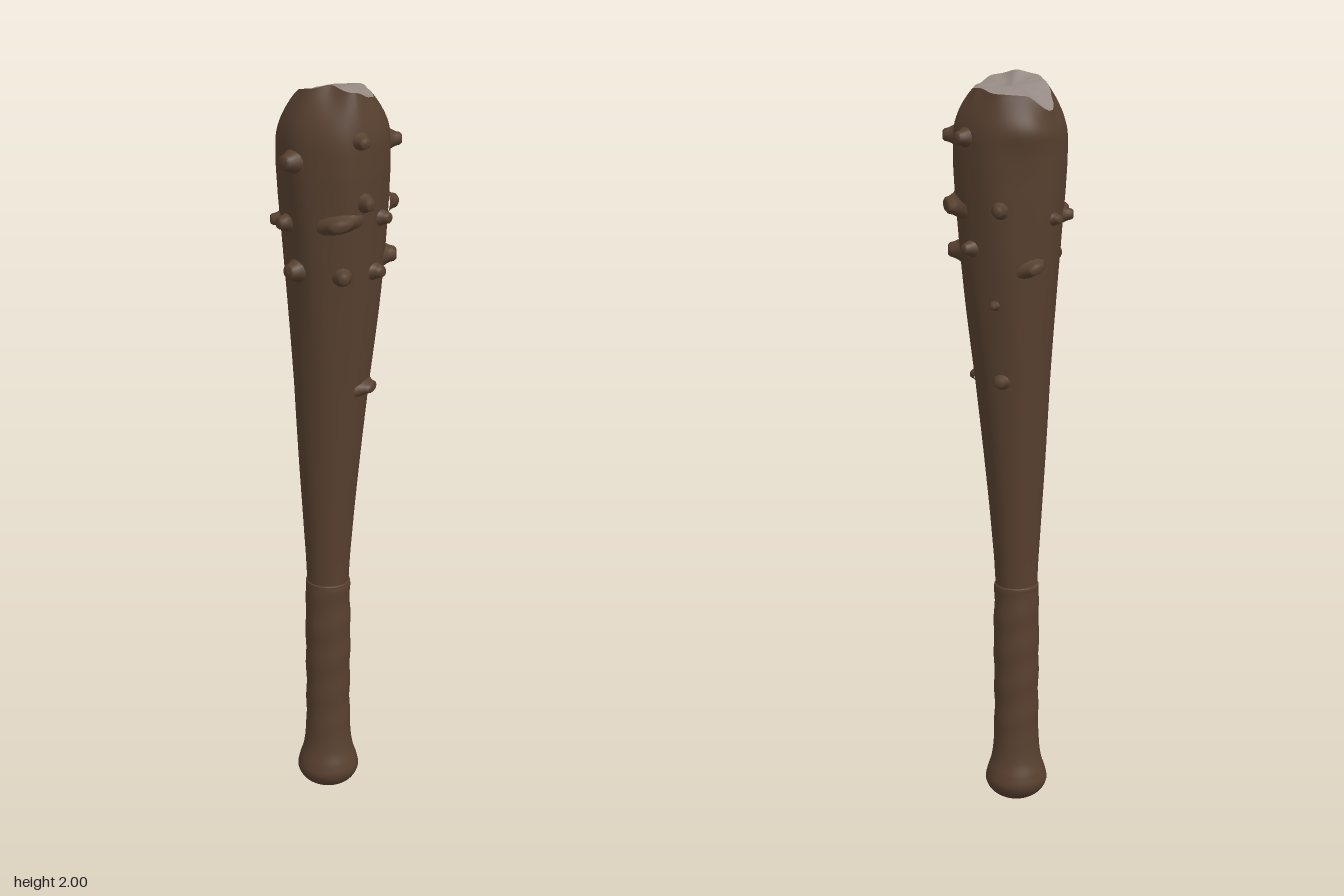
import * as THREE from 'three';

const SEGS = 64;
const TAU = Math.PI * 2;

// Grid of rings closed around the axis; fn(t, angle) returns a point
function ringGeometry(rows, fn) {
  const pos = [], idx = [];
  for (let j = 0; j <= rows; j++) {
    for (let i = 0; i < SEGS; i++) pos.push(...fn(j / rows, (i / SEGS) * TAU));
  }
  for (let j = 0; j < rows; j++) {
    for (let i = 0; i < SEGS; i++) {
      const k = (i + 1) % SEGS;
      const a = j * SEGS + i, b = a + SEGS, c = j * SEGS + k, d = c + SEGS;
      idx.push(a, b, c, b, d, c);
    }
  }
  const g = new THREE.BufferGeometry();
  g.setAttribute('position', new THREE.Float32BufferAttribute(pos, 3));
  g.setIndex(idx);
  g.computeVertexNormals();
  return g;
}

// Smooth value from a list spaced evenly around the circle
function around(list, a) {
  const f = (((a / TAU) % 1) + 1) % 1 * list.length;
  const i = Math.floor(f), s = f - i;
  const w = s * s * (3 - 2 * s);
  return list[i % list.length] * (1 - w) + list[(i + 1) % list.length] * w;
}

// Broken top: rim radius and height every 30 degrees, starting at +x
const RIM_R = [0.093, 0.098, 0.108, 0.122, 0.085, 0.1, 0.093, 0.108, 0.14, 0.122, 0.133, 0.108];
const RIM_Y = [1.965, 1.955, 1.965, 1.985, 2.0, 1.99, 1.98, 1.95, 1.915, 1.955, 1.96, 1.97];
const SHOULDER = 1.84;

// Club radius by height
const PROFILE = [
  [0.6, 0.055], [0.7, 0.06], [0.85, 0.071], [1.0, 0.083], [1.2, 0.099],
  [1.4, 0.118], [1.55, 0.131], [1.7, 0.142], [1.78, 0.146], [SHOULDER, 0.146],
];
function clubRadius(y) {
  let i = 0;
  while (i < PROFILE.length - 2 && y > PROFILE[i + 1][0]) i++;
  const [y0, r0] = PROFILE[i], [y1, r1] = PROFILE[i + 1];
  return THREE.MathUtils.lerp(r0, r1, THREE.MathUtils.clamp((y - y0) / (y1 - y0), 0, 1));
}

// The axis leans slightly towards +x as it rises
const axisX = (y) => -0.022 + 0.02 * THREE.MathUtils.smoothstep(y, 0.6, 1.8);

// Gnarled wood surface
function clubPoint(y, a) {
  const rough = THREE.MathUtils.smoothstep(y, 0.7, 1.7);
  let r = clubRadius(y);
  let h = y;
  const t = (y - SHOULDER) / (2 - SHOULDER);
  if (t > 0) {
    h = SHOULDER + t * (around(RIM_Y, a) - SHOULDER);
    r = THREE.MathUtils.lerp(r, around(RIM_R, a), t * t);
  }
  const fade = 1 - Math.max(0, t);
  r *= 1 + rough * fade * (0.018 * Math.sin(3 * a + 5 * y) + 0.012 * Math.sin(7 * a - 6 * y));
  // a ridge at the back below the rim
  const ridge = Math.max(0, -Math.sin(a)) ** 6 * Math.exp(-(((y - 1.87) / 0.06) ** 2));
  r += 0.012 * ridge;
  return [axisX(h) + r * Math.cos(a), h, r * Math.sin(a)];
}

// Knots: [x, z] direction, height, size, sideways stretch, roll
const KNOTS = [
  [0.01, 0.15, 1.87, 0.75, 1, 0],
  [0.025, 0.15, 1.71, 0.9, 0.8, 0.3],
  [-0.045, 0.145, 1.66, 0.85, 1.7, 0.2],
  [0.09, 0.115, 1.66, 0.75, 0.9, 0],
  [-0.03, 0.13, 1.52, 0.85, 0.9, 0],
  [0.075, 0.11, 1.52, 0.8, 1, 0],
  [0.07, 0.08, 1.2, 0.7, 1.7, 0.15],
  [0.14, 0.045, 1.845, 0.85, 1, 0],
  [0.14, -0.055, 1.85, 0.85, 1, 0],
  [0.15, 0, 1.67, 1, 1.4, -0.3],
  [0.13, 0.05, 1.545, 1, 1.1, 0],
  [0.13, -0.055, 1.565, 0.75, 0.9, 0],
  [0.07, -0.13, 1.67, 0.8, 0.8, 0.4],
  [0.08, -0.1, 1.42, 0.45, 1, 0],
  [0.06, -0.085, 1.215, 0.7, 1, 0],
  [-0.02, -0.13, 1.52, 0.75, 1.5, 0.4],
  [-0.08, -0.11, 1.64, 0.6, 1, 0],
  [-0.14, -0.05, 1.64, 0.75, 1, 0],
  [-0.15, 0.01, 1.645, 0.85, 1, 0],
  [-0.14, 0.05, 1.81, 1.05, 1, 0],
  [-0.13, 0.045, 1.525, 1.05, 1, 0],
];

export function createModel() {
  const wood = new THREE.MeshStandardMaterial({ color: 0x57402f });
  wood.name = 'brownWood';
  const cut = new THREE.MeshStandardMaterial({ color: 0x958983 });
  cut.name = 'paleCutWood';

  const model = new THREE.Group();
  model.name = 'woodenClub';
  const add = (name, geometry, material) => {
    const mesh = new THREE.Mesh(geometry, material);
    mesh.name = name;
    model.add(mesh);
    return mesh;
  };

  // Tapered club up to the broken rim
  add('club', ringGeometry(90, (t, a) => clubPoint(0.6 + 1.4 * t, a)), wood);

  // Uneven pale top, sinking towards the middle
  add('brokenTop', ringGeometry(14, (t, a) => {
    const [x, y, z] = clubPoint(2, a);
    const k = 1 - t;
    const cx = axisX(2), cz = -0.01;
    const px = cx + (x - cx) * k, pz = cz + (z - cz) * k;
    const dent = 0.012 * Math.exp(-((px - 0.02) ** 2 + (pz - 0.03) ** 2) / 0.0008) * Math.min(1, 4 * t);
    return [px, THREE.MathUtils.lerp(1.97, y, k * k) - dent, pz];
  }), cut);

  // Grip with rounded pommel, faint wrapping and a lip at the top
  const gripCurve = new THREE.SplineCurve([
    [0.0, 0], [0.035, 0.006], [0.068, 0.026], [0.084, 0.055], [0.08, 0.085],
    [0.068, 0.125], [0.062, 0.18], [0.06, 0.28], [0.061, 0.4], [0.0615, 0.5],
    [0.06, 0.58], [0.0605, 0.622], [0.058, 0.63], [0.05, 0.631],
  ].map(([r, y]) => new THREE.Vector2(r, y)));
  add('grip', ringGeometry(90, (t, a) => {
    const p = gripCurve.getPoint(t);
    const wrap = THREE.MathUtils.smoothstep(p.y, 0.15, 0.25) * (p.y < 0.62 ? 1 : 0);
    const r = Math.max(0, p.x + 0.0012 * wrap * Math.sin(p.y * 62 + a));
    return [axisX(0) + r * Math.cos(a), Math.max(0, p.y), r * Math.sin(a)];
  }), wood);

  // Blunt knots standing out from the wood
  const knotShape = new THREE.LatheGeometry([
    [0.042, -0.012], [0.03, 0.003], [0.024, 0.014], [0.021, 0.025], [0.015, 0.03], [0, 0.031],
  ].map(([r, y]) => new THREE.Vector2(r, y)), 14);
  for (const [x, z, y, size, stretch, roll] of KNOTS) {
    const a = Math.atan2(z, x);
    const out = new THREE.Vector3(Math.cos(a), 0, Math.sin(a));
    const side = new THREE.Vector3(-Math.sin(a), 0, Math.cos(a));
    const up = new THREE.Vector3().crossVectors(side, out);
    const knot = add('knot', knotShape, wood);
    knot.position.set(...clubPoint(y, a));
    knot.quaternion.setFromRotationMatrix(new THREE.Matrix4().makeBasis(side, out, up));
    knot.rotateY(roll);
    knot.scale.set(size * stretch, 0.35 + 0.65 * size, size * 0.9);
  }
  return model;
}
